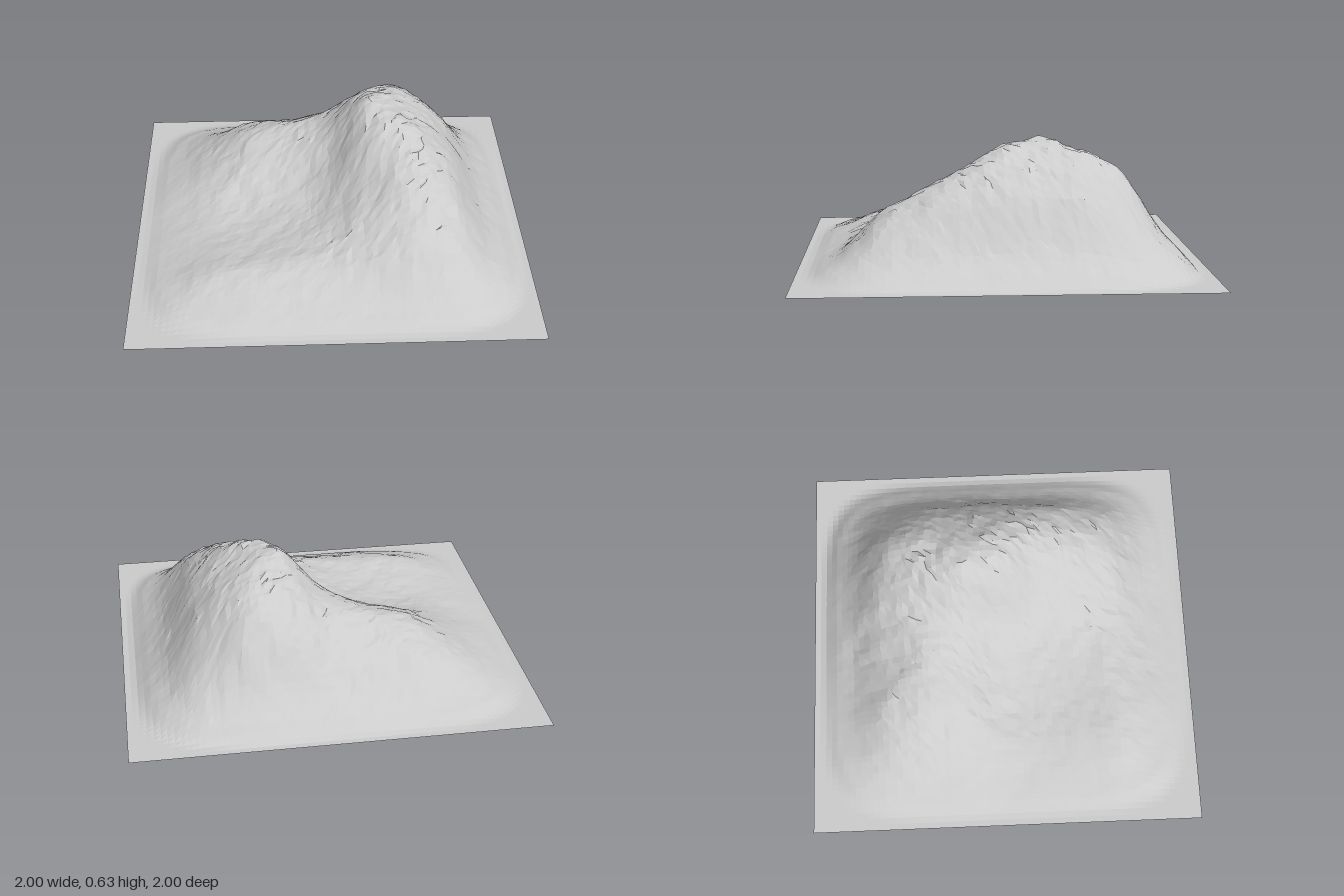
import * as THREE from 'three';

// Coarse relief in hundredths: rows run back to front, columns run -x to +x, spacing 0.2
const RELIEF = [
  [3, 6, 8, 10, 12, 14, 15, 11, 4],
  [6, 16, 24, 25, 30, 41, 44, 28, 9],
  [7, 19, 30, 34, 40, 54, 54, 39, 12],
  [7, 16, 25, 30, 41, 61, 56, 41, 13],
  [5, 11, 14, 19, 31, 56, 57, 42, 13],
  [5, 9, 11, 15, 23, 40, 49, 39, 12],
  [5, 10, 12, 15, 21, 31, 38, 33, 11],
  [5, 12, 14, 15, 17, 22, 27, 23, 8],
  [3, 5, 7, 7, 7, 7, 8, 7, 3],
];
const cell = (i, j) => (RELIEF[j - 1]?.[i - 1] ?? 0) / 100;

// Catmull-Rom blend of four neighbouring values
function cubic(a, b, c, d, t) {
  return b + 0.5 * t * (c - a + t * (2 * a - 5 * b + 4 * c - d + t * (3 * (b - c) + d - a)));
}

// Smooth height of the mountain, fading to a flat rim with rounded corners
function baseHeight(x, z) {
  const u = (x + 1) * 5, v = (z + 1) * 5;
  const i = Math.floor(u), j = Math.floor(v);
  const row = (k) => cubic(cell(i - 1, k), cell(i, k), cell(i + 1, k), cell(i + 2, k), u - i);
  const h = cubic(row(j - 1), row(j), row(j + 1), row(j + 2), v - j);
  const radius = (Math.abs(x) ** 5 + Math.abs(z) ** 5) ** 0.2;
  return Math.max(0, h) * (1 - THREE.MathUtils.smoothstep(radius, 0.88, 0.985));
}

// Repeatable value noise in -1..1
function hash(i, j, seed) {
  const s = Math.sin(i * 127.1 + j * 311.7 + seed * 74.7) * 43758.5453;
  return (s - Math.floor(s)) * 2 - 1;
}
function noise(x, z, seed) {
  const i = Math.floor(x), j = Math.floor(z);
  const fade = (t) => t * t * (3 - 2 * t);
  const { lerp } = THREE.MathUtils;
  const a = lerp(hash(i, j, seed), hash(i + 1, j, seed), fade(x - i));
  const b = lerp(hash(i, j + 1, seed), hash(i + 1, j + 1, seed), fade(x - i));
  return lerp(a, b, fade(z - j));
}

export function createModel() {
  const group = new THREE.Group();
  group.name = 'mountainTerrain';

  // One open sheet: a fine grid lifted by the relief, rougher towards the summit
  const segments = 64;
  const geometry = new THREE.PlaneGeometry(2, 2, segments, segments).rotateX(-Math.PI / 2);
  const position = geometry.attributes.position;
  for (let k = 0; k < position.count; k++) {
    const column = k % (segments + 1), line = Math.floor(k / (segments + 1));
    const x = position.getX(k), z = position.getZ(k);
    const h = baseHeight(x, z);
    const slope = Math.min(1, h / 0.2);
    const summit = Math.min(1, h / 0.55);
    const bumps = slope * (0.006 * noise(x * 9, z * 9, 1) + 0.007 * noise(x * 19, z * 19, 2))
      + 0.006 * summit * hash(column, line, 5);
    // Sideways jitter breaks up the grid; height follows the moved point
    const px = x + 0.008 * slope * hash(column, line, 3);
    const pz = z + 0.008 * slope * hash(column, line, 4);
    position.setXYZ(k, px, Math.max(0, baseHeight(px, pz) + bumps), pz);
  }
  geometry.computeVertexNormals();

  const rock = new THREE.MeshStandardMaterial({
    color: 0xcccccc, flatShading: true, side: THREE.DoubleSide,
  });
  const mountain = new THREE.Mesh(geometry, rock);
  mountain.name = 'mountainSurface';
  group.add(mountain);
  return group;
}
